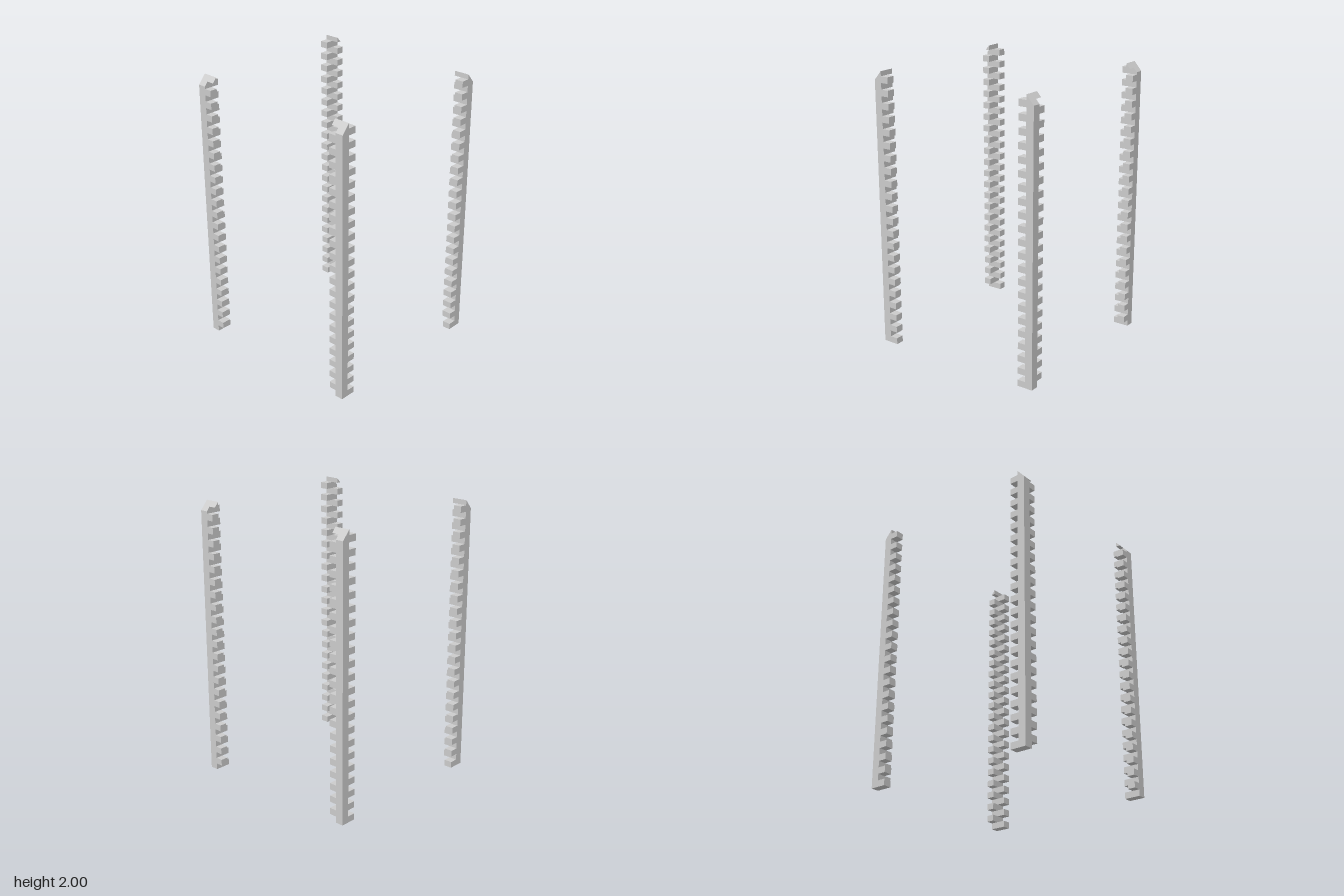
import * as THREE from 'three';

const OUT_X = 0.658, OUT_Z = 0.654;      // outer faces of the corners
const CORE = 0.598;                      // inner face of a short end
const LONG_X = 0.544, LONG_Z = 0.538;    // inner end of a long arm
const LAYERS = 44, H = 0.0457;           // courses and their height
const EAVE = 1.936, RIDGE = 2;           // roof slope, from outer face up to CORE

// z on the roof slope at a given height
const slopeZ = (y) => OUT_Z - (y - EAVE) / (RIDGE - EAVE) * (OUT_Z - CORE);

// Side profile of one course as [z, y] points, cut by the roof slope
function profile(zIn, y0, y1) {
  if (y1 <= EAVE) return [[zIn, y0], [OUT_Z, y0], [OUT_Z, y1], [zIn, y1]];
  if (y0 < EAVE) return [[zIn, y0], [OUT_Z, y0], [OUT_Z, EAVE], [slopeZ(y1), y1], [zIn, y1]];
  return [[zIn, y0], [slopeZ(y0), y0], [zIn, RIDGE]];
}

// One stone: the profile extruded along x, placed in the corner (sx, sz)
function stone(i, sx, sz, material) {
  const longZ = i % 2 === 0;
  const xIn = longZ ? CORE : LONG_X;
  const pts = profile(longZ ? LONG_Z : CORE, i * H, Math.min((i + 1) * H, RIDGE));
  const shape = new THREE.Shape(pts.map(([z, y]) => new THREE.Vector2(z * sz, y)));
  const geo = new THREE.ExtrudeGeometry(shape, { depth: OUT_X - xIn, bevelEnabled: false });
  geo.rotateY(-Math.PI / 2);
  geo.translate(sx > 0 ? OUT_X : -xIn, 0, 0);
  const mesh = new THREE.Mesh(geo, material);
  mesh.name = longZ ? 'sideStone' : 'frontStone';
  return mesh;
}

export function createModel() {
  const model = new THREE.Group();
  model.name = 'cornerStones';
  const material = new THREE.MeshStandardMaterial({ color: 0xcccccc, flatShading: true });

  // Four corner columns of alternating stones
  for (const sx of [-1, 1]) {
    for (const sz of [-1, 1]) {
      const column = new THREE.Group();
      column.name = (sz > 0 ? 'front' : 'back') + (sx > 0 ? 'Left' : 'Right') + 'Column';
      for (let i = 0; i < LAYERS; i++) column.add(stone(i, sx, sz, material));
      model.add(column);
    }
  }
  return model;
}
